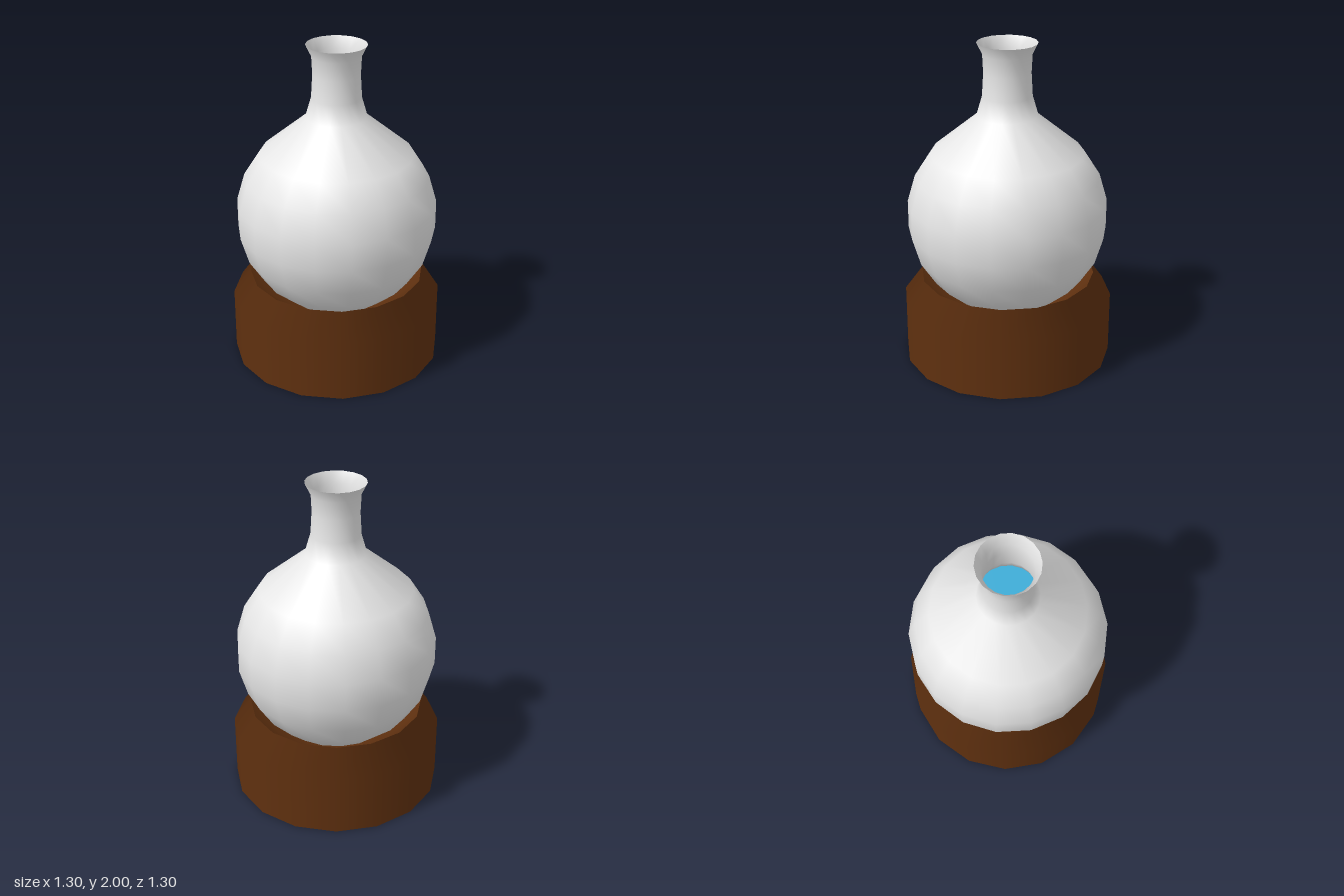
import * as THREE from 'three';

const glass = new THREE.MeshStandardMaterial({ color: 0xe6e6e6, side: THREE.DoubleSide });
glass.name = 'pale glass';
const wood = new THREE.MeshStandardMaterial({ color: 0x5f300f });
wood.name = 'dark wood';
const blue = new THREE.MeshStandardMaterial({ color: 0x38abd6 });
blue.name = 'blue liquid';

const CENTER = 0.925, RADIUS = 0.617, RINGS = 11;

function part(group, name, geometry, material) {
  const mesh = new THREE.Mesh(geometry, material);
  mesh.name = name;
  group.add(mesh);
  return mesh;
}

function lathe(points, sides) {
  const profile = points.map(([r, y]) => new THREE.Vector2(r, y));
  return new THREE.LatheGeometry(profile, sides).rotateY(Math.PI / 2);
}

// Rings of the round bulb from the bottom pole upwards
function bulbProfile(count, radius) {
  const points = [];
  for (let i = 0; i < count; i++) {
    const a = (i / RINGS) * Math.PI;
    points.push([radius * Math.sin(a), CENTER - radius * Math.cos(a)]);
  }
  return points;
}

export function createModel() {
  const model = new THREE.Group();
  model.name = 'flaskOnStand';

  // Round flask: bulb, shoulder, narrow neck and flared lip
  const neck = [[0.185, 1.56], [0.15, 1.68], [0.142, 1.82], [0.147, 1.93], [0.182, 2]];
  part(model, 'flask', lathe([...bulbProfile(9, RADIUS), ...neck], 18), glass);

  // Liquid filling the lower half of the bulb, with a flat surface
  const bowl = bulbProfile(6, RADIUS - 0.03);
  const [surfaceRadius, surfaceY] = bowl[bowl.length - 1];
  part(model, 'liquidBody', lathe(bowl, 18), blue);
  const surface = new THREE.CircleGeometry(surfaceRadius, 18).rotateX(-Math.PI / 2);
  part(model, 'liquidSurface', surface, blue).position.y = surfaceY;

  // Stand wall: straight drum whose top ring is drawn in, keeping level shading
  const wall = new THREE.CylinderGeometry(0.65, 0.65, 0.54, 16, 2, true).translate(0, 0.27, 0);
  const p = wall.attributes.position;
  for (let i = 0; i < p.count; i++) {
    const y = p.getY(i);
    if (y > 0.5) p.setXYZ(i, p.getX(i) * 0.54 / 0.65, y, p.getZ(i) * 0.54 / 0.65);
    else if (y > 0.1) p.setY(i, 0.39);
  }
  part(model, 'standWall', wall, wood);

  // Hollow seat for the bulb and flat underside
  part(model, 'standSeat', lathe([[0.54, 0.54], [0.42, 0.43], [0.2, 0.29], [0, 0.27]], 16), wood);
  const base = new THREE.CircleGeometry(0.65, 16).rotateX(Math.PI / 2);
  part(model, 'standBase', base, wood);

  return model;
}
